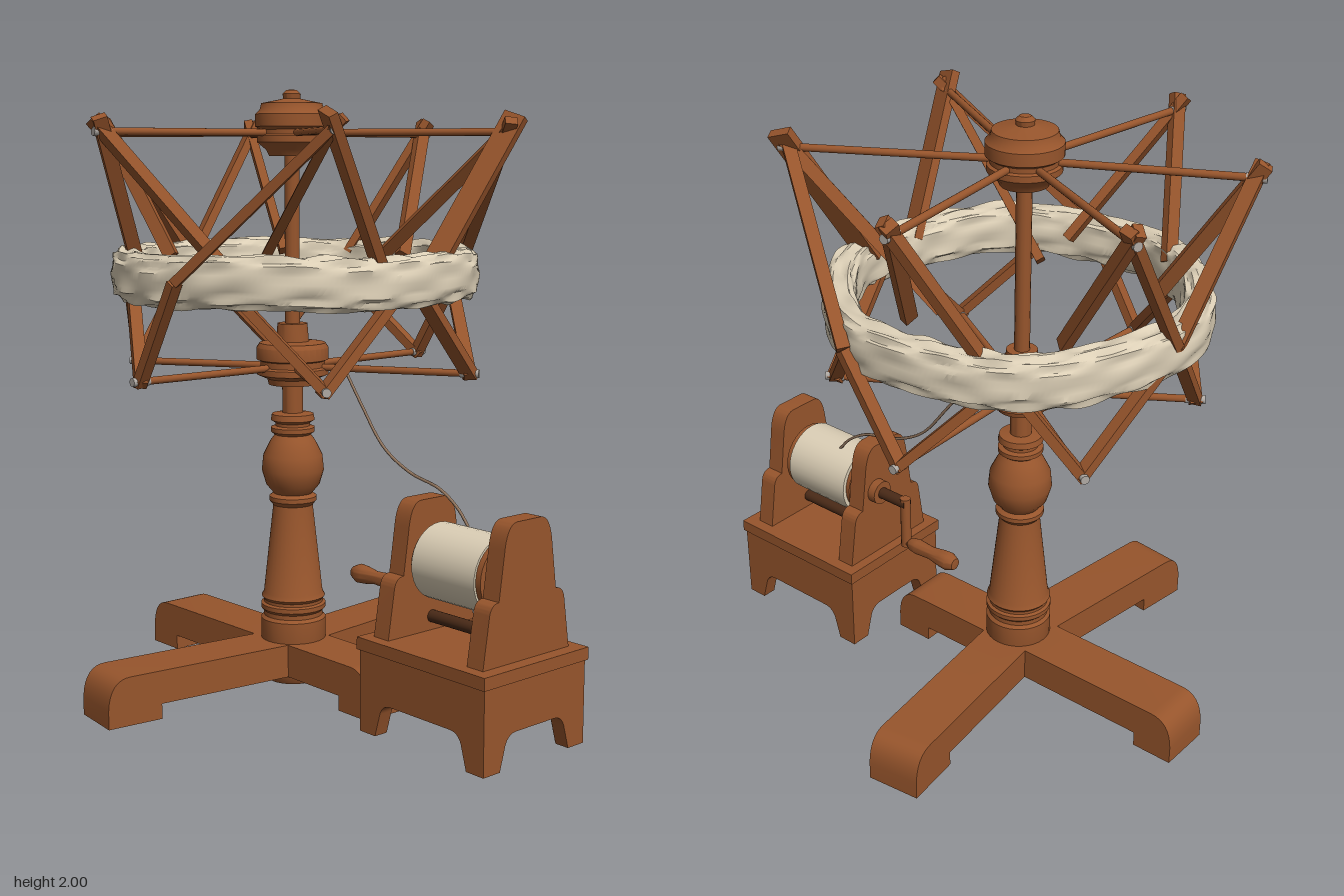
import * as THREE from 'three';
import { toCreasedNormals } from 'three/addons/utils/BufferGeometryUtils.js';

const V = (x, y, z) => new THREE.Vector3(x, y, z);
const CX = -0.18; // swift axis
const WZ = -0.06; // winder centre line

export function createModel() {
  const model = new THREE.Group();
  const mat = (name, color) => Object.assign(new THREE.MeshStandardMaterial({ color }), { name });
  const wood = mat('wood', 0x97552c);
  const darkWood = mat('dark wood', 0x4a2a17);
  const yarn = mat('yarn', 0xdccfb6);
  const strandMat = mat('strand', 0x957860);
  const metal = mat('pin metal', 0xb0aaa4);

  const add = (name, geo, m = wood, parent = model) => {
    const mesh = new THREE.Mesh(geo, m);
    mesh.name = name;
    parent.add(mesh);
    return mesh;
  };
  const box = (name, x0, x1, y0, y1, z0, z1, m) =>
    add(name, new THREE.BoxGeometry(x1 - x0, y1 - y0, z1 - z0), m)
      .position.set((x0 + x1) / 2, (y0 + y1) / 2, (z0 + z1) / 2);
  const lathe = (name, pts, m) =>
    add(name, toCreasedNormals(new THREE.LatheGeometry(pts.map(p => new THREE.Vector2(...p)), 32), 0.6), m);
  const rod = (name, a, b, r, m, sides = 14) => {
    const mesh = add(name, new THREE.CylinderGeometry(r, r, a.distanceTo(b), sides), m);
    mesh.position.copy(a).lerp(b, 0.5);
    mesh.quaternion.setFromUnitVectors(V(0, 1, 0), b.clone().sub(a).normalize());
    return mesh;
  };
  // Flat bar from a to b, w across the radius and t thick, running past a by `past`
  const slat = (name, a, b, w = 0.04, past = 0.015, t = 0.03) => {
    const y = b.clone().sub(a).normalize();
    const start = a.clone().addScaledVector(y, -past);
    const mid = start.clone().lerp(b, 0.5);
    const x = V(mid.x - CX, 0, mid.z);
    x.addScaledVector(y, -x.dot(y)).normalize();
    const z = x.clone().cross(y);
    const mesh = add(name, new THREE.BoxGeometry(w, start.distanceTo(b), t));
    mesh.position.copy(mid);
    mesh.quaternion.setFromRotationMatrix(new THREE.Matrix4().makeBasis(x, y, z));
  };

  // Floor legs: angle, length, foot length
  for (const [deg, L, foot] of [[0, 0.47, 0.135], [180, 0.695, 0.14], [97, 0.75, 0.19], [-97, 0.75, 0.19]]) {
    const s = new THREE.Shape();
    s.moveTo(0, 0.05);
    s.lineTo(L - foot, 0.05);
    s.lineTo(L - foot, 0);
    s.lineTo(L, 0);
    s.lineTo(L, 0.06);
    s.quadraticCurveTo(L - 0.005, 0.16, L - 0.08, 0.16);
    s.lineTo(0, 0.16);
    const g = new THREE.ExtrudeGeometry(s, { depth: 0.18, bevelEnabled: false, curveSegments: 8 });
    g.translate(0, 0, -0.09);
    const leg = add('floorLeg', toCreasedNormals(g, 0.6));
    leg.position.x = CX;
    leg.rotation.y = -deg * Math.PI / 180;
  }

  // Turned post, axle and hubs
  const post = lathe('post', [[0, 0.015], [0.09, 0.015], [0.11, 0.05], [0.11, 0.23], [0.1, 0.24], [0.1, 0.255], [0.11, 0.265],
    [0.11, 0.28], [0.1, 0.285], [0.1, 0.295], [0.108, 0.305], [0.1, 0.32], [0.067, 0.62], [0.08, 0.635], [0.08, 0.65],
    [0.065, 0.66], [0.09, 0.69], [0.105, 0.74], [0.1, 0.79], [0.075, 0.84], [0.06, 0.86], [0.074, 0.87], [0.074, 0.885],
    [0.058, 0.89], [0.058, 0.9], [0.074, 0.91], [0.07, 0.93], [0.035, 0.935], [0.035, 1.04]]);
  const lower = lathe('lowerHub', [[0, 1.03], [0.08, 1.03], [0.085, 1.05], [0.12, 1.065], [0.12, 1.085], [0.108, 1.09],
    [0.108, 1.11], [0.12, 1.115], [0.12, 1.155], [0.11, 1.17], [0.055, 1.175], [0.05, 1.235], [0, 1.235]]);
  const upper = lathe('upperHub', [[0, 1.785], [0.075, 1.785], [0.085, 1.805], [0.115, 1.83], [0.115, 1.85], [0.105, 1.855],
    [0.105, 1.87], [0.12, 1.88], [0.12, 1.92], [0.105, 1.935], [0.1, 1.955], [0.05, 1.965], [0.028, 1.97], [0.03, 1.985],
    [0.018, 1.997], [0, 2]]);
  for (const m of [post, lower, upper]) m.position.x = CX;
  rod('axle', V(CX, 1.2, 0), V(CX, 1.8, 0), 0.025);

  // Star frame, mirrored in z
  for (const s of [1, -1]) {
    const A = V(0.44, 1.865, 0.365 * s), B = V(-0.265, 1.865, 0.68 * s), C = V(-0.785, 1.865, 0.31 * s);
    const a = V(0.34, 1.09, 0.31 * s), b = V(-0.2, 1.09, 0.6 * s), c = V(-0.64, 1.09, 0.3 * s);
    const flip = p => V(p.x, p.y, -p.z);

    for (const [p, isTop] of [[A, 1], [B, 1], [C, 1], [a, 0], [b, 0], [c, 0]]) {
      const y = isTop ? 1.86 : 1.09;
      rod(isTop ? 'upperSpoke' : 'lowerSpoke', V(CX, y, 0), V(p.x, y, p.z), 0.012);
      const out = V(p.x - CX, 0, p.z).normalize();
      const tip = V(p.x, y, p.z);
      rod('pin', tip.clone().addScaledVector(out, -0.03), tip.clone().addScaledVector(out, 0.032), 0.014, metal);
    }
    // Bent slats passing outside the skein
    const bend = V(0, 1.41, 0.61 * s), backBend = V(-0.745, 1.42, 0);
    slat('outerSlat', A, bend, 0.04, 0.045);
    slat('outerSlat', b, bend);
    slat('outerSlat', C, backBend, 0.045, 0.045);
    slat('outerSlat', flip(c), backBend);
    // Upper slats leaning inside the skein
    slat('innerSlat', A, V(0.365, 1.43, 0.1 * s), 0.075, 0.055);
    slat('innerSlat', A, V(-0.06, 1.42, 0.245 * s), 0.04, 0.03);
    slat('innerSlat', B, V(-0.06, 1.45, 0.39 * s), 0.045, 0.045);
    slat('innerSlat', B, V(-0.41, 1.44, 0.46 * s), 0.045, 0.045);
    slat('innerSlat', C, V(-0.52, 1.45, 0.245 * s), 0.045, 0.045);
    // Lower slats rising into the skein
    slat('lowerSlat', a, V(0.06, 1.42, 0.49 * s));
    slat('lowerSlat', c, V(-0.46, 1.42, 0.46 * s));
    slat('lowerSlat', b, V(-0.49, 1.42, 0.43 * s));
    slat('lowerSlat', a, V(0.385, 1.42, 0), 0.05);
  }

  // Skein: a ring of twisted, uneven strands
  const RINGS = 36, STEPS = 220;
  const skein = new THREE.TorusGeometry(1, 0.1, RINGS, STEPS);
  const P = skein.attributes.position;
  const sq = f => Math.sign(f) * Math.abs(f) ** 0.65;
  const ridge = f => 1 - 2 * Math.abs(Math.sin(f / 2));
  for (let j = 0; j <= RINGS; j++) for (let i = 0; i <= STEPS; i++) {
    const u = (i % STEPS) / STEPS * Math.PI * 2, v = (j % RINGS) / RINGS * Math.PI * 2;
    const bump = 1 + 0.055 * ridge(10 * v + 6 * u + 1.6 * Math.sin(3 * u)) + 0.05 * Math.sin(8 * v - 13 * u)
      + 0.03 * Math.sin(3 * v + 19 * u);
    const R = 0.555 + 0.006 * Math.sin(6 * u) + 0.052 * bump * sq(Math.cos(v));
    P.setXYZ(j * (STEPS + 1) + i, -0.16 + R * Math.cos(u),
      1.408 + 0.004 * Math.sin(5 * u) + 0.08 * bump * sq(Math.sin(v)), -R * Math.sin(u));
  }
  add('skein', toCreasedNormals(skein, 0.7), yarn);

  // Loose strand running to the bobbin
  const path = new THREE.CatmullRomCurve3([V(-0.04, 1.1, -0.1), V(0.05, 0.98, -0.1), V(0.16, 0.85, -0.1), V(0.28, 0.785, -0.1),
    V(0.42, 0.75, -0.1), V(0.5, 0.7, -0.1), V(0.545, 0.65, -0.1)]);
  add('strand', new THREE.TubeGeometry(path, 48, 0.005, 6), strandMat);

  // Winder stand: top board, body and arched aprons
  box('standBoard', 0.33, 0.875, 0.265, 0.305, WZ - 0.23, WZ + 0.23);
  box('standBody', 0.345, 0.86, 0.112, 0.27, WZ - 0.215, WZ + 0.215);
  const apron = (half, foot) => {
    const s = new THREE.Shape();
    const k = half - foot;
    s.moveTo(-half, 0);
    s.lineTo(-k - 0.02, 0);
    s.lineTo(-k, 0.07);
    s.quadraticCurveTo(-k + 0.01, 0.11, -k + 0.05, 0.11);
    s.lineTo(k - 0.05, 0.11);
    s.quadraticCurveTo(k - 0.01, 0.11, k, 0.07);
    s.lineTo(k + 0.02, 0);
    s.lineTo(half, 0);
    s.lineTo(half, 0.265);
    s.lineTo(-half, 0.265);
    const g = new THREE.ExtrudeGeometry(s, { depth: 0.05, bevelEnabled: false });
    return toCreasedNormals(g.translate(0, 0, -0.05), 0.6);
  };
  for (const s of [1, -1]) {
    const long = add('longApron', apron(0.266, 0.09));
    long.position.set(0.6025, 0, WZ + 0.222 * s);
    if (s < 0) long.rotation.y = Math.PI;
    const end = add('endApron', apron(0.222, 0.09));
    end.position.set(0.6025 + 0.266 * s, 0, WZ);
    end.rotation.y = s * Math.PI / 2;
  }

  // Shouldered uprights
  const up = new THREE.Shape();
  up.moveTo(-0.19, 0.3);
  up.lineTo(0.19, 0.3);
  up.lineTo(0.165, 0.46);
  up.quadraticCurveTo(0.16, 0.5, 0.125, 0.5);
  up.lineTo(0.105, 0.64);
  up.quadraticCurveTo(0.095, 0.73, 0.05, 0.73);
  up.lineTo(-0.05, 0.73);
  up.quadraticCurveTo(-0.095, 0.73, -0.105, 0.64);
  up.lineTo(-0.125, 0.5);
  up.quadraticCurveTo(-0.16, 0.5, -0.165, 0.46);
  for (const x of [0.365, 0.765]) {
    const g = new THREE.ExtrudeGeometry(up, { depth: 0.065, bevelEnabled: false });
    const m = add('upright', toCreasedNormals(g, 0.6));
    m.rotation.y = Math.PI / 2;
    m.position.set(x, 0, WZ);
  }

  // Bobbin and its bars
  const along = (name, x0, x1, y, z, r, m) => rod(name, V(x0, y, z), V(x1, y, z), r, m, 32);
  along('bobbinYarn', 0.46, 0.725, 0.537, WZ, 0.122, yarn);
  for (const [x0, x1, r] of [[0.43, 0.445, 0.085], [0.445, 0.46, 0.108], [0.725, 0.745, 0.115], [0.745, 0.766, 0.09]])
    along('bobbinFlange', x0, x1, 0.537, WZ, r);
  along('lowerBar', 0.42, 0.775, 0.35, WZ, 0.02, darkWood);

  // Crank
  const kz = -0.115;
  along('crankShaft', 0.22, 0.38, 0.555, kz, 0.02, darkWood);
  along('crankBearing', 0.335, 0.37, 0.555, kz, 0.042);
  rod('crankArm', V(0.228, 0.385, kz), V(0.228, 0.575, kz), 0.018);
  const grip = lathe('crankGrip', [[0, 0], [0.02, 0.003], [0.032, 0.03], [0.03, 0.06], [0.022, 0.11], [0.026, 0.17],
    [0.022, 0.2], [0.014, 0.21], [0.014, 0.235], [0, 0.235]]);
  grip.rotation.z = -Math.PI / 2;
  grip.position.set(0.002, 0.4, kz);

  return model;
}
